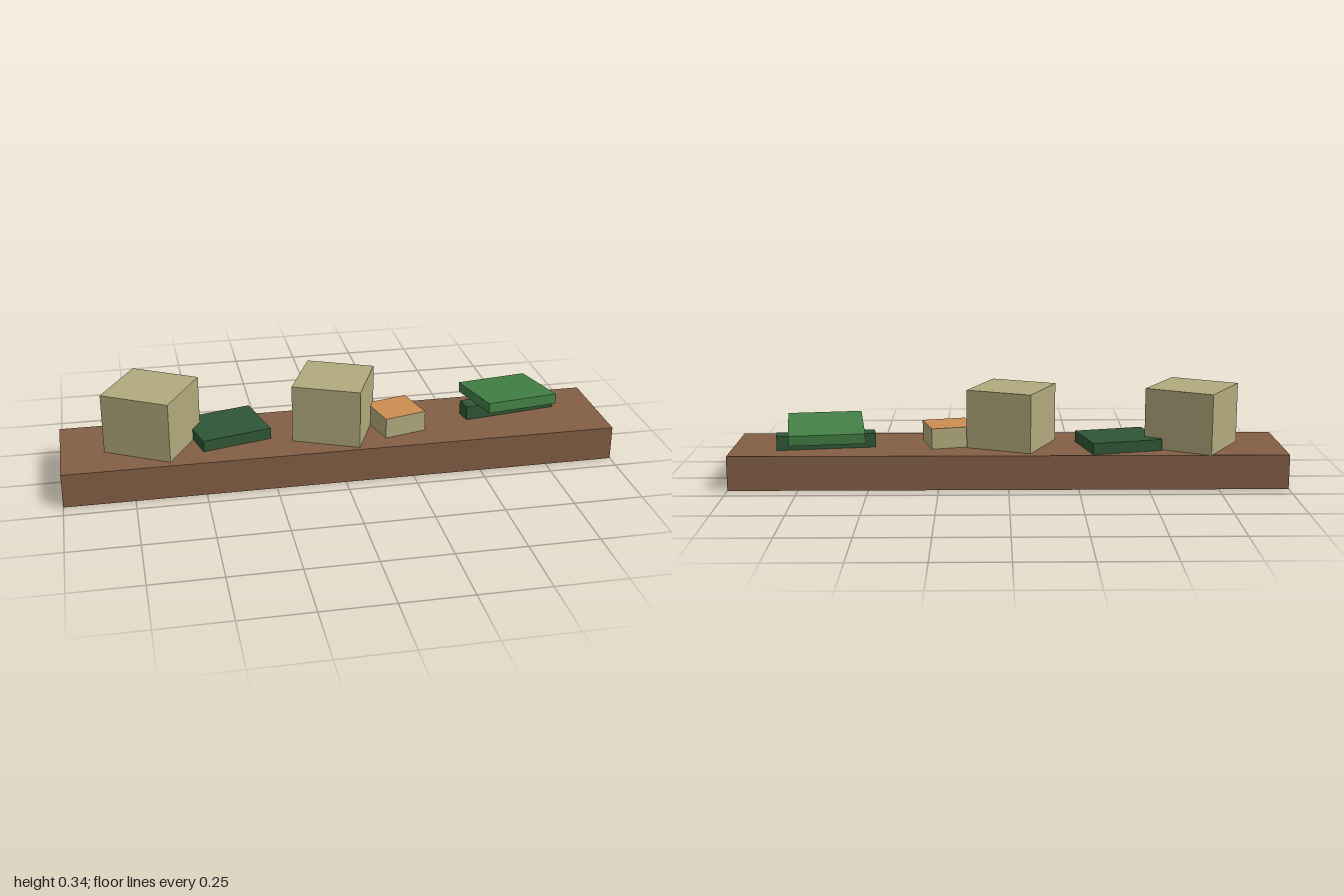
import * as THREE from 'three';

const paint = (name, color) =>
  new THREE.MeshStandardMaterial({ name, color, side: THREE.DoubleSide });

// Box without its underside; an optional second material covers the top face.
function openBox(name, [w, h, d], [x, y, z], yaw, sideMat, topMat = sideMat, tilt = 0) {
  const geo = new THREE.BoxGeometry(w, h, d);
  const index = Array.from(geo.index.array);
  index.splice(18, 6);
  geo.setIndex(index);
  geo.clearGroups();
  let material = sideMat;
  if (topMat !== sideMat) {
    geo.addGroup(0, 12, 0);
    geo.addGroup(12, 6, 1);
    geo.addGroup(18, 12, 0);
    material = [sideMat, topMat];
  }
  geo.translate(0, h / 2, 0);
  const mesh = new THREE.Mesh(geo, material);
  mesh.name = name;
  mesh.position.set(x, y, z);
  mesh.rotation.set(tilt, THREE.MathUtils.degToRad(yaw), 0, 'YXZ');
  return mesh;
}

export function createModel() {
  const brown = paint('wood brown', 0x835f44);
  const tan = paint('cardboard tan', 0xb2a97d);
  const orange = paint('orange', 0xcc8c51);
  const green = paint('green', 0x438045);
  const darkGreen = paint('dark green', 0x2f5636);

  const model = new THREE.Group();
  model.name = 'shelfWithBoxes';
  const top = 0.125;

  model.add(
    // Shelf board, hollow underneath
    openBox('shelf', [2, top, 0.374], [0, 0, 0.005], 0, brown),
    // Two large cartons
    openBox('leftCarton', [0.258, 0.219, 0.258], [-0.67, top, -0.011], -29.3, tan),
    openBox('middleCarton', [0.249, 0.213, 0.249], [-0.0125, top, 0.0115], -23, tan),
    // Flat book between the cartons
    openBox('flatBook', [0.259, 0.041, 0.218], [-0.4, top, -0.033], 14.2, darkGreen),
    // Small box with an orange lid
    openBox('smallBox', [0.16, 0.075, 0.16], [0.219, top, 0.021], 14.5, tan, orange),
    // Bar with a tilted book resting on it
    openBox('supportBar', [0.357, 0.052, 0.064], [0.6625, top, -0.034], 8.4, darkGreen),
    openBox('tiltedBook', [0.27, 0.037, 0.274], [0.662, 0.177, -0.034], 8, green, green, -0.1),
  );
  return model;
}
